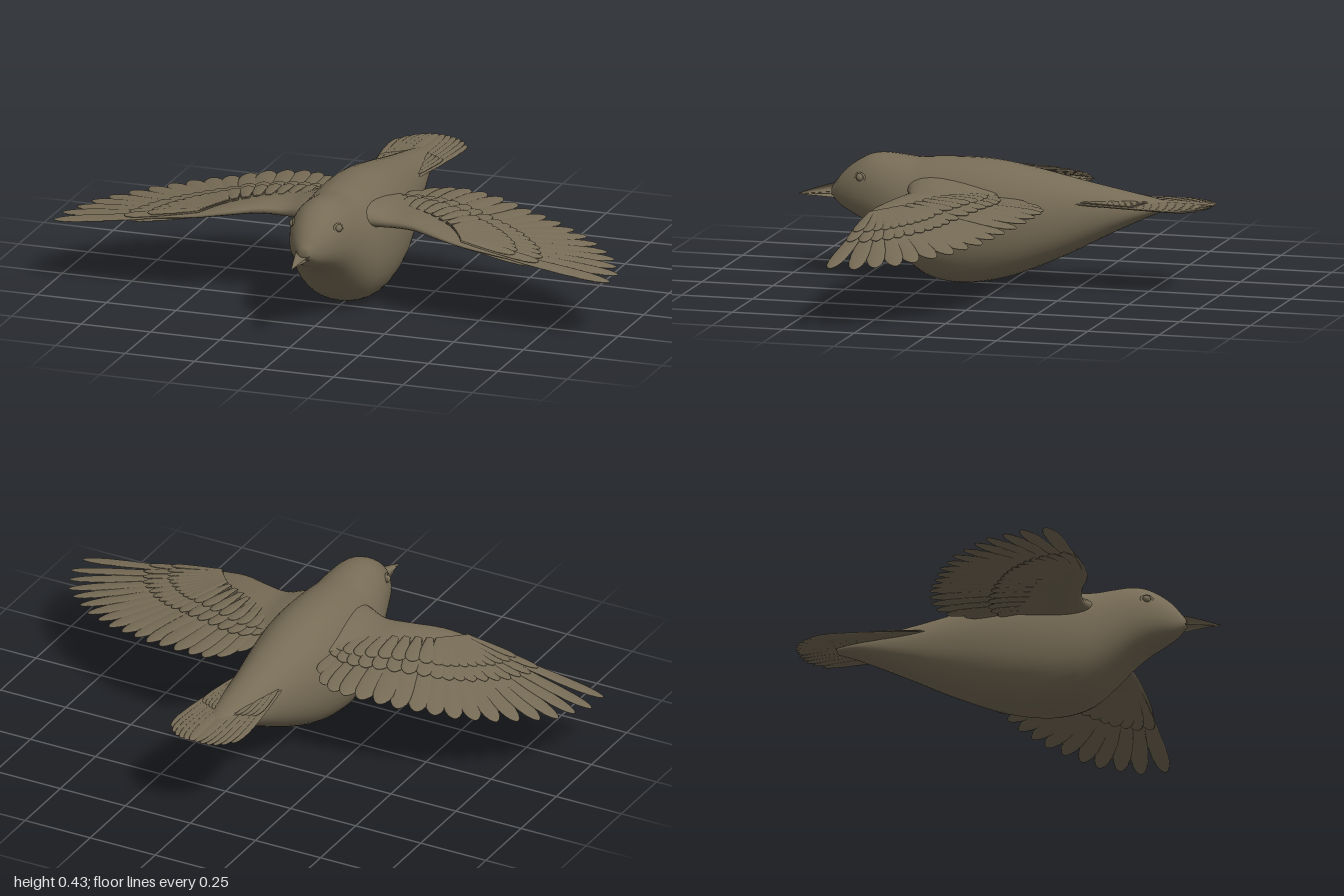
import * as THREE from 'three';

const plumage = new THREE.MeshStandardMaterial({ color: 0x776c56 });
plumage.name = 'olive brown plumage';

const lerp = THREE.MathUtils.lerp;
// Smooth curve through [position, value, value...] rows
function sample(rows, n) {
  const out = [];
  const cols = rows[0].length;
  for (let i = 0; i <= n; i++) {
    const f = (i / n) * (rows.length - 1);
    const k = Math.min(Math.floor(f), rows.length - 2), t = f - k;
    const row = [];
    for (let c = 0; c < cols; c++) {
      const b = rows[k][c], d = rows[k + 1][c];
      const a = k > 0 ? rows[k - 1][c] : 2 * b - d;
      const e = k + 2 < rows.length ? rows[k + 2][c] : 2 * d - b;
      row.push(b + 0.5 * t * (d - a + t * (2 * a - 5 * b + 4 * d - e + t * (3 * (b - d) + e - a))));
    }
    out.push(row);
  }
  return out;
}

// Skin over closed cross-sections, capped at both ends; side -1 mirrors it in x
function loft(name, rings, side = 1) {
  const n = rings[0].length, pos = [], idx = [];
  const tri = (a, b, c) => (side > 0 ? idx.push(a, b, c) : idx.push(a, c, b));
  rings.forEach((r) => r.forEach((p) => pos.push(p[0] * side, p[1], p[2])));
  for (let i = 0; i < rings.length - 1; i++) {
    for (let j = 0; j < n; j++) {
      const a = i * n + j, b = i * n + ((j + 1) % n);
      tri(a, b, a + n);
      tri(b, b + n, a + n);
    }
  }
  [0, rings.length - 1].forEach((i) => {
    const c = [0, 1, 2].map((k) => rings[i].reduce((s, p) => s + p[k], 0) / n);
    const ci = pos.length / 3;
    pos.push(c[0] * side, c[1], c[2]);
    for (let j = 0; j < n; j++) {
      const a = i * n + j, b = i * n + ((j + 1) % n);
      if (i === 0) tri(ci, b, a);
      else tri(ci, a, b);
    }
  });
  const g = new THREE.BufferGeometry();
  g.setAttribute('position', new THREE.Float32BufferAttribute(pos, 3));
  g.setIndex(idx);
  g.computeVertexNormals();
  const mesh = new THREE.Mesh(g, plumage);
  mesh.name = name;
  return mesh;
}

const circle = (n, f) => Array.from({ length: n }, (_, j) => {
  const a = (j / n) * Math.PI * 2;
  return f(Math.cos(a), Math.sin(a));
});
const soft = (v, e) => Math.sign(v) * Math.pow(Math.abs(v), e);

// Rows: z, top, bottom, half width; slightly pear-shaped section
function trunk(name, rows, steps, pear, e) {
  return loft(name, sample(rows, steps).map(([z, top, bot, w]) => circle(40, (c, s) => [
    w * soft(s, e) * (1 - pear * c), (top + bot) / 2 + ((top - bot) / 2) * soft(c, e), z,
  ])));
}

// One thin blade from root to tip, [x, z] each, following a height rule
const BLADE = [[0, 0.45], [0.2, 0.65], [0.45, 0.88], [0.7, 1], [0.84, 0.95], [0.92, 0.77], [0.97, 0.5], [0.992, 0.25], [1, 0.03]];
function feather(name, root, tip, width, thick, tilt, height, side = 1) {
  const dx = tip[0] - root[0], dz = tip[1] - root[1], len = Math.hypot(dx, dz);
  const lx = dz / len, lz = -dx / len;
  return loft(name, BLADE.map(([t, p]) => {
    const x = root[0] + dx * t, z = root[1] + dz * t, w = width * p;
    return circle(12, (c, s) => [
      x + lx * w * c,
      height(x, z, t) + thick * Math.sqrt(p) * soft(s, 1.4) + tilt * c * p,
      z + lz * w * c,
    ]);
  }), side);
}

// Wing surface: falls toward the tip and gently toward the trailing edge
const SPAN = [[0, 0.335], [0.2, 0.327], [0.3, 0.325], [0.4, 0.315], [0.5, 0.295], [0.7, 0.262], [1, 0.218]];
function wingHeight(x, z) {
  let k = 0;
  while (k < SPAN.length - 2 && x > SPAN[k + 1][0]) k++;
  const [a, b] = [SPAN[k], SPAN[k + 1]];
  const y = lerp(a[1], b[1], (x - a[0]) / (b[0] - a[0]));
  return y - 0.07 * Math.max(0, 0.2 - z) * Math.max(0, 1 - x);
}

const TIPS = [
  [1, 0.335], [1, 0.25], [0.97, 0.185], [0.94, 0.12], [0.895, 0.07], [0.84, 0.018],
  [0.785, -0.03], [0.725, -0.065], [0.665, -0.1], [0.6, -0.125], [0.54, -0.145], [0.48, -0.17],
  [0.42, -0.188], [0.355, -0.2], [0.295, -0.206], [0.245, -0.2], [0.2, -0.175], [0.165, -0.12],
];

function makeWing(side) {
  const wing = new THREE.Group();
  wing.name = side > 0 ? 'leftWing' : 'rightWing';
  // Arm rows: x, leading z, trailing z, centre y, half thickness
  const arm = sample([
    [0.05, 0.34, -0.06, 0.335, 0.07], [0.12, 0.315, -0.01, 0.33, 0.055], [0.19, 0.296, 0.03, 0.321, 0.037],
    [0.28, 0.312, 0.08, 0.321, 0.028], [0.38, 0.35, 0.15, 0.311, 0.021], [0.48, 0.365, 0.23, 0.294, 0.014],
    [0.58, 0.37, 0.31, 0.28, 0.007], [0.64, 0.368, 0.345, 0.271, 0.002],
  ], 28);
  wing.add(loft('wingArm', arm.map(([x, lead, trail, y, h]) => circle(24, (c, s) => [
    x, y + h * c * (0.65 + 0.35 * s), (lead + trail) / 2 + ((lead - trail) / 2) * s,
  ])), side));

  // Rows of overlapping feathers: name, reach, width scale, lift
  const layers = [
    ['flightFeather', 1, 1, 0], ['greaterCovert', 0.52, 0.8, 0.008],
    ['lesserCovert', 0.36, 0.7, 0.014], ['underCovert', 0.48, 0.85, -0.008],
  ];
  for (const [name, reach, scale, lift] of layers) {
    TIPS.forEach((tip, i) => {
      const hand = i < 10, t = hand ? i / 9 : (i - 10) / 7;
      const root = hand ? [lerp(0.47, 0.41, t), lerp(0.342, 0.26, t)] : [lerp(0.385, 0.15, t), lerp(0.24, 0.1, t)];
      const end = [lerp(root[0], tip[0], reach), lerp(root[1], tip[1], reach)];
      const width = (hand ? lerp(0.031, 0.038, t) : 0.037) * scale;
      wing.add(feather(name, root, end, width, 0.005, 0.004,
        (x, z) => wingHeight(x, z) + lift, side));
    });
  }
  return wing;
}

function makeTail() {
  const tail = new THREE.Group();
  tail.name = 'tail';
  for (let i = 0; i < 6; i++) {
    for (const side of [1, -1]) {
      const k = (i + 0.5) / 5.5;
      const tip = [0.117 * k, -0.73 + 0.065 * k * k * k];
      const y = (x, z, t) => lerp(0.302, 0.3, t) + 0.008 * (1 - k);
      tail.add(feather('tailFeather', [0.07 * k, -0.2], tip, 0.028, 0.005, -0.003, y, side));
      // Short coverts over the tail base
      tail.add(feather('tailCovert', [0.06 * k, -0.2], [0.095 * k, -0.53 + 0.05 * k], 0.024, 0.005, -0.003,
        (x, z, t) => y(x, z, t) + 0.007, side));
    }
  }
  return tail;
}

export function createModel() {
  const bird = new THREE.Group();
  bird.name = 'flyingBird';

  // Head and body in one smooth skin
  bird.add(trunk('body', [
    [0.612, 0.305, 0.275, 0.016], [0.595, 0.328, 0.258, 0.034], [0.57, 0.36, 0.238, 0.055], [0.53, 0.394, 0.217, 0.079],
    [0.48, 0.422, 0.19, 0.099], [0.43, 0.431, 0.155, 0.115], [0.37, 0.427, 0.1, 0.133], [0.31, 0.421, 0.048, 0.149],
    [0.25, 0.425, 0.015, 0.16], [0.16, 0.429, 0.0, 0.166], [0.06, 0.428, 0.01, 0.163], [-0.04, 0.415, 0.037, 0.152],
    [-0.14, 0.396, 0.078, 0.133], [-0.24, 0.375, 0.125, 0.111], [-0.34, 0.355, 0.178, 0.09], [-0.44, 0.336, 0.228, 0.07],
    [-0.53, 0.319, 0.27, 0.046], [-0.59, 0.306, 0.29, 0.02],
  ], 68, 0.1, 0.92));

  // Pointed beak: upper and lower halves
  bird.add(trunk('upperBeak', [
    [0.57, 0.325, 0.276, 0.038], [0.6, 0.318, 0.278, 0.031], [0.64, 0.307, 0.277, 0.021],
    [0.69, 0.29, 0.273, 0.01], [0.73, 0.274, 0.27, 0.001],
  ], 16, 0.1, 1));
  bird.add(trunk('lowerBeak', [
    [0.57, 0.29, 0.262, 0.034], [0.6, 0.286, 0.266, 0.027], [0.65, 0.281, 0.268, 0.016], [0.71, 0.274, 0.27, 0.003],
  ], 12, 0, 1));

  for (const side of [1, -1]) {
    // Eye with a raised lid
    const eye = new THREE.Group();
    eye.name = side > 0 ? 'leftEye' : 'rightEye';
    const ball = new THREE.Mesh(new THREE.SphereGeometry(0.014, 20, 14), plumage);
    ball.name = 'eyeball';
    const lid = new THREE.Mesh(new THREE.TorusGeometry(0.016, 0.004, 8, 24), plumage);
    lid.name = 'eyelid';
    lid.scale.set(1.2, 0.9, 1);
    eye.add(ball, lid);
    eye.position.set(side * 0.081, 0.355, 0.492);
    eye.rotation.set(-0.2, side * 1.15, 0);
    bird.add(eye, makeWing(side));
  }

  bird.add(makeTail());
  return bird;
}
